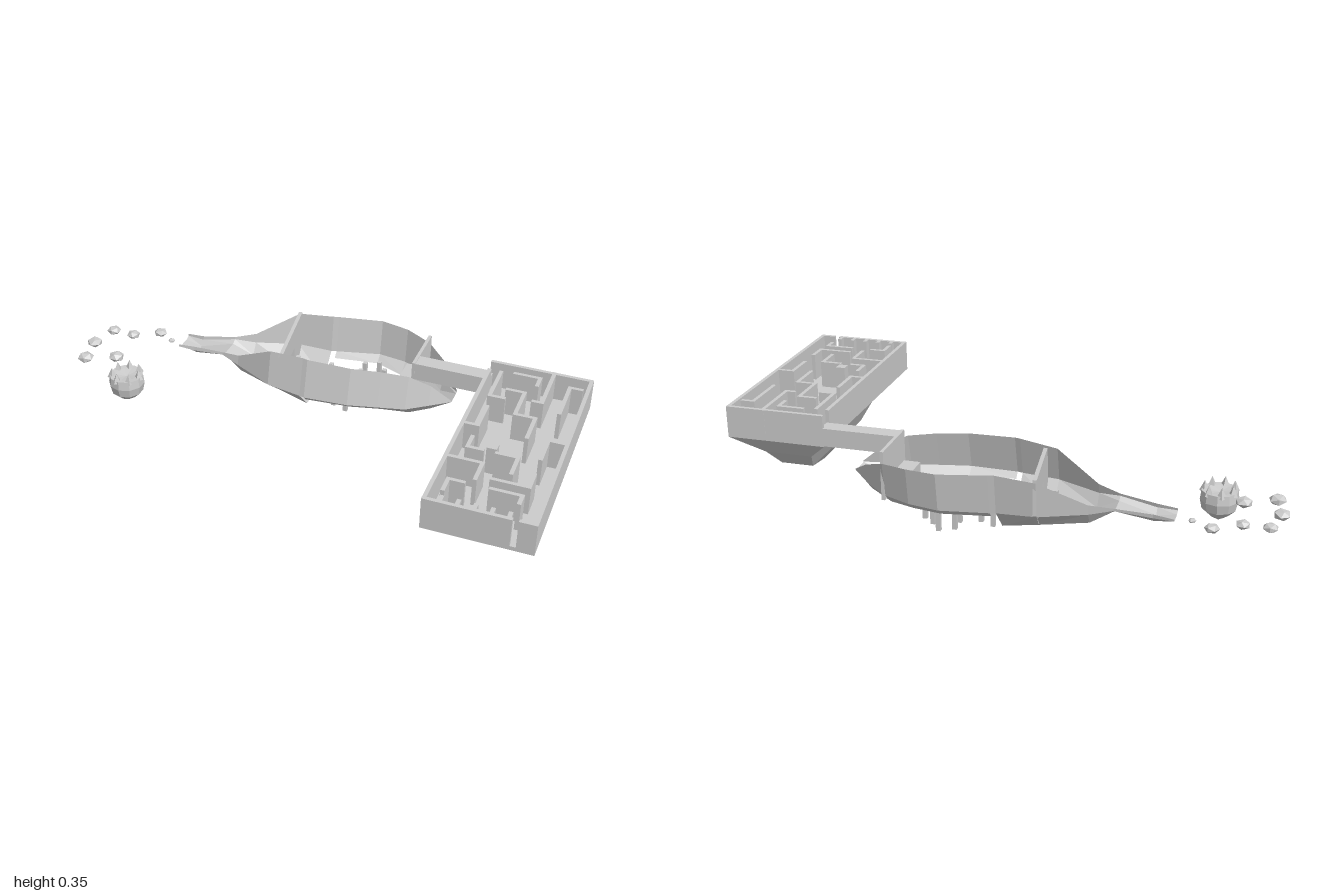
import * as THREE from 'three';

const mat = new THREE.MeshStandardMaterial({ color: 0xcccccc, flatShading: true, side: THREE.DoubleSide });

function add(parent, name, geo, x = 0, y = 0, z = 0) {
  const m = new THREE.Mesh(geo, mat);
  m.name = name;
  m.position.set(x, y, z);
  parent.add(m);
  return m;
}

// Box given by its min and max on each axis
function block(parent, name, x0, x1, y0, y1, z0, z1) {
  return add(parent, name, new THREE.BoxGeometry(x1 - x0, y1 - y0, z1 - z0),
    (x0 + x1) / 2, (y0 + y1) / 2, (z0 + z1) / 2);
}

// Skin between neighbouring sections; skip(i, j) leaves a quad open
function loft(sections, closed, skip = () => false) {
  const pos = [];
  const n = sections[0].length;
  for (let i = 0; i < sections.length - 1; i++) {
    for (let j = 0; j < (closed ? n : n - 1); j++) {
      if (skip(i, j)) continue;
      const k = (j + 1) % n;
      const a = sections[i][j], b = sections[i][k], c = sections[i + 1][k], d = sections[i + 1][j];
      pos.push(...a, ...b, ...c, ...a, ...c, ...d);
    }
  }
  const g = new THREE.BufferGeometry();
  g.setAttribute('position', new THREE.Float32BufferAttribute(pos, 3));
  g.computeVertexNormals();
  return g;
}

function makeMazeIsland() {
  const g = new THREE.Group();
  g.name = 'mazeIsland';
  const X0 = 0.63, X1 = 1, Z0 = -0.326, Z1 = 0.54, top = 0.352, floor = 0.25, t = 0.014;
  block(g, 'mazeFloor', X0, X1, 0.235, floor, Z0, Z1);

  // Tapering rock underneath: [y, xMin, xMax, zMin, zMax]
  const rings = [
    [0.235, X0, X1, Z0, Z1], [0.163, 0.71, 0.89, -0.262, 0.367],
    [0.088, 0.745, 0.87, -0.18, 0.297], [0.015, 0.803, 0.805, 0.058, 0.062],
  ].map(([y, a, b, c, d]) => [[a, y, c], [a, y, d], [b, y, d], [b, y, c]]);
  add(g, 'islandUnderside', loft(rings, true));

  // Outer walls, with an entrance gap in the front
  const wall = (name, x0, x1, z0, z1) => block(g, name, x0, x1, floor, top, z0, z1);
  wall('outerWall', X0, X0 + t, Z0 + 0.06, Z1);
  wall('outerWall', X1 - t, X1, Z0, Z1);
  wall('outerWall', X0, X1, Z0, Z0 + t);
  wall('outerWall', X0, 0.92, Z1 - t, Z1);
  wall('outerWall', 0.94, X1, Z1 - t, Z1);

  // L-shaped maze walls: corner x and z, then the arm lengths along x and z
  const corners = [
    [0.68, -0.1, 0.05, -0.16], [0.82, -0.27, -0.09, 0.05], [0.79, -0.16, -0.06, 0.13],
    [0.86, -0.12, -0.03, -0.2], [0.93, -0.25, 0.04, 0.17], [0.69, 0.09, -0.05, -0.12],
    [0.86, -0.02, -0.07, 0.12], [0.93, 0.09, 0.06, 0.11], [0.69, 0.22, 0.05, -0.06],
    [0.86, 0.22, -0.07, 0.09], [0.76, 0.29, -0.12, 0.09], [0.93, 0.36, -0.12, -0.07],
    [0.68, 0.41, 0.05, 0.06], [0.92, 0.41, -0.1, 0.04],
  ];
  const h = t / 2;
  for (const [x, z, dx, dz] of corners) {
    wall('mazeWall', x + Math.min(dx, 0) - h, x + Math.max(dx, 0) + h, z - h, z + h);
    wall('mazeWall', x - h, x + h, z + Math.min(dz, 0) - h, z + Math.max(dz, 0) + h);
  }
  // Short stubs along the front wall, and a square pillar
  for (let i = 0; i < 5; i++) wall('mazeStub', 0.68 + i * 0.055, 0.68 + i * 0.055 + t, 0.5, 0.53);
  wall('mazePillar', 0.75, 0.785, 0.17, 0.205);
  return g;
}

function makeHull() {
  const g = new THREE.Group();
  g.name = 'shipWreck';
  // Stations along the hull: x, back z, front z, rim y, side y, keel y, keel inset
  const stations = [
    [-0.63, -0.39, -0.3, 0.143, 0.135, 0.128, 0.02],
    [-0.56, -0.385, -0.295, 0.15, 0.135, 0.116, 0.02],
    [-0.43, -0.405, -0.28, 0.164, 0.155, 0.145, 0.02],
    [-0.35, -0.435, -0.25, 0.18, 0.143, 0.1, 0.03],
    [-0.19, -0.505, -0.17, 0.27, 0.14, 0.075, 0.08],
    [-0.05, -0.51, -0.145, 0.284, 0.138, 0.054, 0.08],
    [-0.03, -0.515, -0.14, 0.284, 0.138, 0.118, 0.02],
    [0.14, -0.55, -0.145, 0.283, 0.143, 0.118, 0.03],
    [0.25, -0.53, -0.17, 0.28, 0.145, 0.11, 0.045],
    [0.35, -0.485, -0.195, 0.27, 0.145, 0.098, 0.055],
    [0.43, -0.43, -0.23, 0.235, 0.16, 0.13, 0.03],
    [0.505, -0.345, -0.27, 0.175, 0.17, 0.168, 0.01],
  ];
  // Both sides lean toward the back as they rise
  const sections = stations.map(([x, zb, zf, rim, side, keel, inset]) => {
    const lean = rim - side;
    const zs = zb + 0.14 * lean;
    return [[x, rim, zb], [x, side, zs], [x, keel, zs + inset], [x, keel, zf - inset], [x, side, zf], [x, rim, zf - 0.25 * lean]];
  });
  // The bottom is broken open amidships
  const skip = (i, j) => (i === 5 && j >= 1 && j <= 3) || ((i === 6 || i === 7) && j === 2);
  add(g, 'hull', loft(sections, false, skip));

  // Bulkhead standing askew across the stern, with a doorway
  const outline = (path, pts) => path.setFromPoints(pts.map(([u, y]) => new THREE.Vector2(u, y)));
  const bulkhead = outline(new THREE.Shape(),
    [[0.16, 0.28], [0.16, 0.15], [0.09, 0.085], [-0.08, 0.085], [-0.165, 0.13], [-0.15, 0.265]]);
  bulkhead.holes.push(outline(new THREE.Path(), [[-0.03, 0.1], [0.03, 0.1], [0.03, 0.19], [-0.03, 0.19]]));
  const panel = add(g, 'bulkhead', new THREE.ExtrudeGeometry(bulkhead, { depth: 0.014, bevelEnabled: false }), -0.172, 0, -0.342);
  panel.rotation.y = Math.PI / 2 + 0.13;

  // Steps and crate at the stern
  for (let i = 0; i < 5; i++) {
    const z = -0.36 + i * 0.023;
    block(g, 'sternStep', -0.21, -0.18, 0.09, 0.16 - i * 0.012, z, z + 0.01);
  }
  block(g, 'sternCrate', -0.145, -0.09, 0.07, 0.13, -0.3, -0.24);
  block(g, 'sternBeam', -0.21, -0.08, 0.13, 0.142, -0.275, -0.26);
  block(g, 'sternPost', -0.135, -0.12, 0.07, 0.19, -0.335, -0.32);

  // Bow platform and the panel the bridge meets
  block(g, 'bowPlatform', 0.285, 0.345, 0.1, 0.2, -0.42, -0.285);
  block(g, 'bowStep', 0.25, 0.285, 0.1, 0.15, -0.38, -0.32);
  block(g, 'bowPanel', 0.348, 0.36, 0.13, 0.308, -0.475, -0.265);

  // Loose posts in the breach
  const posts = [
    [-0.01, -0.385], [0.11, -0.44], [0.16, -0.465], [0.195, -0.42], [0.235, -0.385], [0.11, -0.385],
    [0.04, -0.36], [-0.05, -0.34], [0.13, -0.315], [0.04, -0.28], [0.095, -0.26],
  ];
  for (const [x, z] of posts) block(g, 'post', x - 0.008, x + 0.008, 0.037, 0.15, z - 0.008, z + 0.008);
  return g;
}

function makeRocks() {
  const g = new THREE.Group();
  g.name = 'floatingRocks';
  // Round boulder with a jagged crown
  const profile = [[0, 0.003], [0.035, 0.025], [0.062, 0.05], [0.07, 0.085], [0.066, 0.12], [0.045, 0.118], [0, 0.11]];
  add(g, 'boulder', new THREE.LatheGeometry(profile.map(p => new THREE.Vector2(...p)), 10), -0.742, 0, -0.062);
  for (let i = 0; i < 7; i++) {
    const a = i * Math.PI * 2 / 7;
    const s = add(g, 'crownShard', new THREE.ConeGeometry(0.019, 0.04, 4), -0.742 + 0.054 * Math.cos(a), 0.13, -0.062 + 0.054 * Math.sin(a));
    s.rotation.y = -a;
  }
  // Small flattened rocks: [x, z, radius]
  const rocks = [
    [-0.94, -0.33, 0.028], [-0.85, -0.33, 0.027], [-0.755, -0.385, 0.027], [-0.685, -0.345, 0.014],
    [-0.968, -0.22, 0.032], [-0.945, -0.105, 0.033], [-0.835, -0.155, 0.032],
  ];
  rocks.forEach(([x, z, r], i) => {
    const m = add(g, 'smallRock', new THREE.IcosahedronGeometry(r, 0), x, 0.125, z);
    m.scale.y = 0.6;
    m.rotation.y = i * 1.3;
  });
  return g;
}

export function createModel() {
  const model = new THREE.Group();
  model.name = 'floatingRuins';
  model.add(makeMazeIsland(), makeHull(), makeRocks());
  // Bridge from the ship to the maze
  block(model, 'bridge', 0.358, 0.64, 0.238, 0.305, -0.326, -0.267);
  return model;
}
